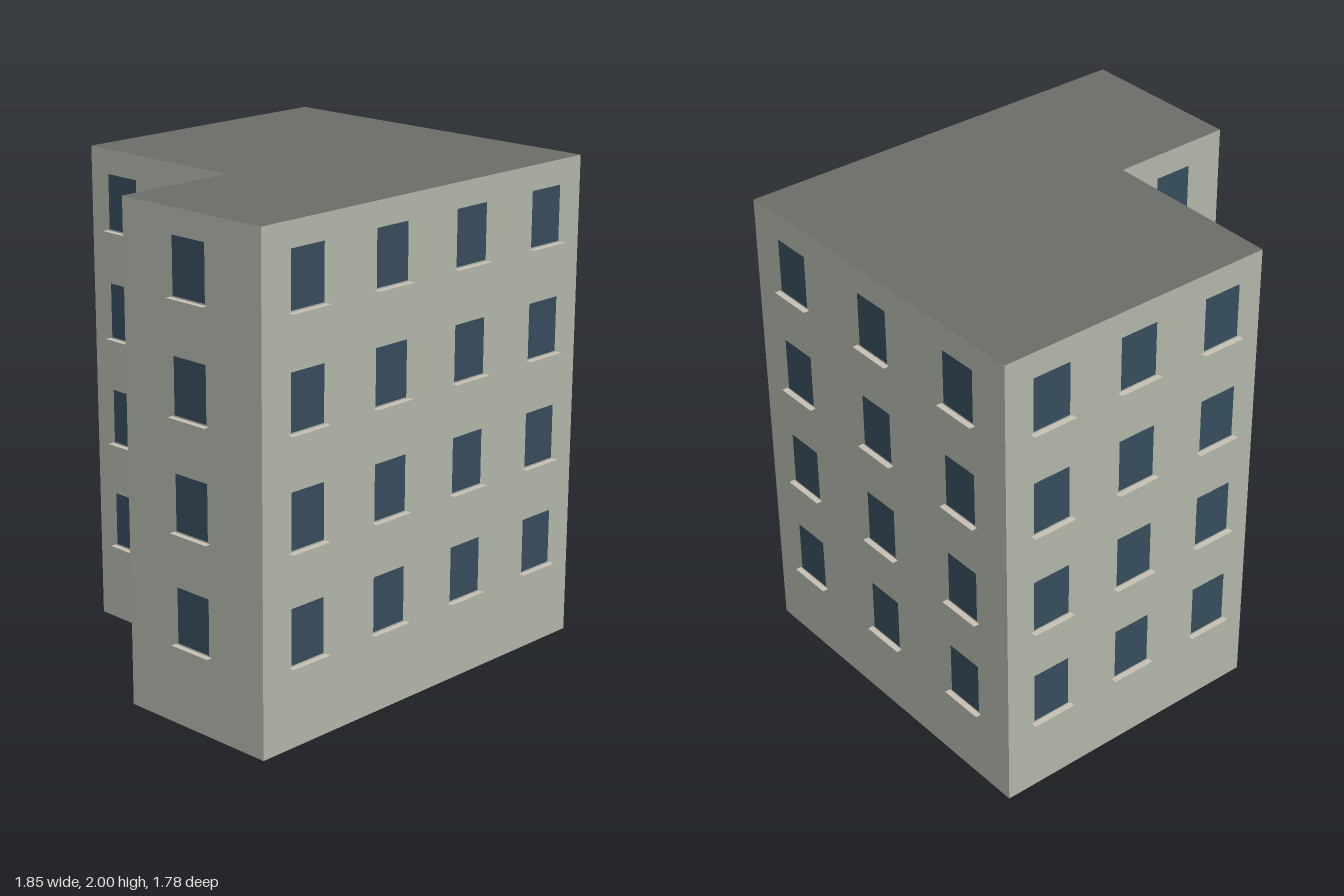
import * as THREE from 'three';

export function createModel() {
  const model = new THREE.Group();
  model.name = 'apartmentBlock';
  const paint = (color, extra = {}) => new THREE.MeshStandardMaterial({ color, ...extra });
  const wallMat = paint(0xb0b5a8);
  const roofMat = paint(0x6b6d68);
  const glassMat = paint(0x364c5c, { side: THREE.DoubleSide });
  const sillMat = paint(0xc8c0b4, { side: THREE.DoubleSide });

  // L-shaped plan: corner x, z and the window columns on the wall that starts there
  const height = 2;
  const plan = [
    [-0.814, 0.872, 4],
    [0.915, 0.612, 3],
    [0.68, -0.873, 3],
    [-0.521, -0.688, 2],
    [-0.411, 0.088, 1],
    [-0.925, 0.171, 1],
  ];

  // Walls with flat roof and base
  const outline = new THREE.Shape(plan.map(([x, z]) => new THREE.Vector2(x, -z)));
  const bodyGeo = new THREE.ExtrudeGeometry(outline, { depth: height, bevelEnabled: false });
  bodyGeo.rotateX(-Math.PI / 2);
  const body = new THREE.Mesh(bodyGeo, [roofMat, wallMat]);
  body.name = 'wallsAndRoof';
  model.add(body);

  // One pane and one thin ledge, shared by every window
  const floors = 4, floorHeight = 0.447, firstWindow = 0.45, offset = 0.01;
  const paneHeight = 0.223, sillDepth = 0.024;
  const paneGeo = new THREE.PlaneGeometry(0.167, paneHeight);
  paneGeo.translate(0, 0, offset);
  const sillGeo = new THREE.PlaneGeometry(0.192, sillDepth);
  sillGeo.rotateX(-Math.PI / 2);
  sillGeo.translate(0, -paneHeight / 2 - 0.006, offset + sillDepth / 2);

  plan.forEach(([x, z, columns], i) => {
    const [nextX, nextZ] = plan[(i + 1) % plan.length];
    const dx = nextX - x, dz = nextZ - z;
    const facade = new THREE.Group();
    facade.name = `facade${i + 1}`;
    facade.position.set(x, 0, z);
    facade.rotation.y = Math.atan2(-dz, dx); // local x runs along the wall, z outwards
    const length = Math.hypot(dx, dz);
    for (let c = 0; c < columns; c++) {
      for (let f = 0; f < floors; f++) {
        const pane = new THREE.Mesh(paneGeo, glassMat);
        pane.name = 'windowPane';
        const sill = new THREE.Mesh(sillGeo, sillMat);
        sill.name = 'windowSill';
        const win = new THREE.Group();
        win.name = 'window';
        win.position.set(length * (c + 0.5) / columns, firstWindow + f * floorHeight, 0);
        win.add(pane, sill);
        facade.add(win);
      }
    }
    model.add(facade);
  });

  return model;
}
